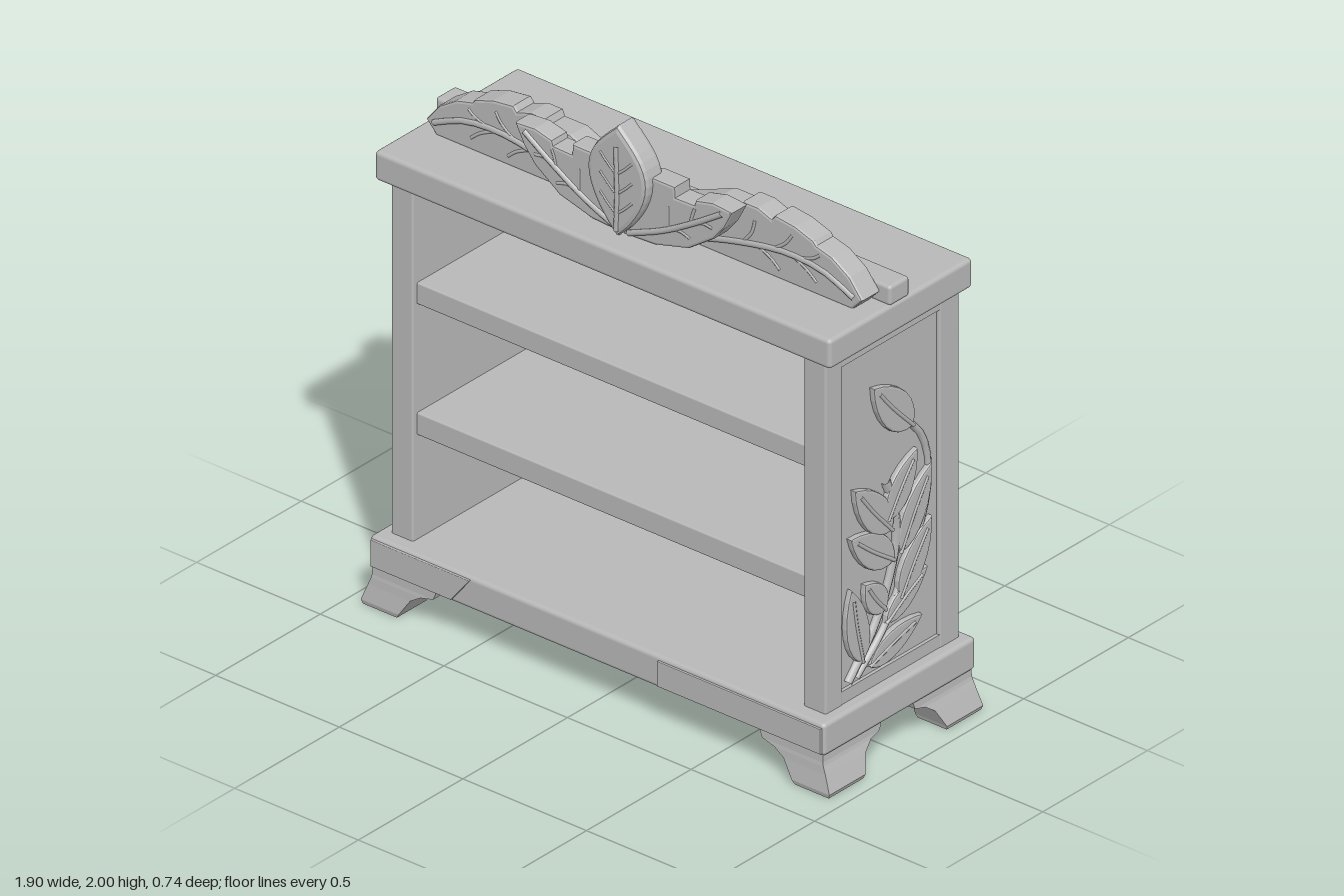
import * as THREE from 'three';
import { RoundedBoxGeometry } from 'three/addons/geometries/RoundedBoxGeometry.js';

const stone = new THREE.MeshStandardMaterial({ color: 0xb8b8b8 });
stone.name = 'plain grey';

export function createModel() {
  const root = new THREE.Group();
  root.name = 'carvedBookcase';

  const add = (name, geometry, parent = root) => {
    const mesh = new THREE.Mesh(geometry, stone);
    mesh.name = name;
    parent.add(mesh);
    return mesh;
  };
  // Box given by its limits; r rounds the edges
  const box = (name, x0, x1, y0, y1, z0, z1, r = 0) => {
    const size = [x1 - x0, y1 - y0, z1 - z0];
    const g = r ? new RoundedBoxGeometry(...size, 2, r) : new THREE.BoxGeometry(...size);
    add(name, g).position.set((x0 + x1) / 2, (y0 + y1) / 2, (z0 + z1) / 2);
  };
  // Bevelled slab cut from an outline, its back at z and its front at z + depth
  const slab = (name, shape, z, depth, bevel, parent = root) => {
    const g = new THREE.ExtrudeGeometry(shape, {
      depth: depth - 2 * bevel, bevelSize: bevel, bevelOffset: -bevel,
      bevelThickness: bevel, bevelSegments: 2, curveSegments: 8,
    });
    g.translate(0, 0, z + bevel);
    return add(name, g, parent);
  };
  const outline = (pts, s = 1) => new THREE.Shape(pts.map(([x, y]) => new THREE.Vector2(x * s, y)));
  // Raised vein following a few points on a flat face
  const vein = (name, pts, s, z, r, parent = root) => {
    const curve = new THREE.CatmullRomCurve3(pts.map(([x, y]) => new THREE.Vector3(x * s, y, z)));
    add(name, new THREE.TubeGeometry(curve, 12, r, 6), parent);
  };

  // Carcass
  box('baseSlab', -0.92, 0.92, 0.135, 0.25, -0.367, 0.36, 0.015);
  box('topSlab', -0.922, 0.922, 1.5, 1.605, -0.35, 0.335, 0.015);
  box('topRail', -0.92, 0.92, 1.6, 1.67, -0.05, 0.045, 0.012);
  box('backPanel', -0.8, 0.8, 0.24, 1.51, -0.333, -0.275);
  box('lowerShelf', -0.8, 0.8, 0.62, 0.7, -0.28, 0.285, 0.006);
  box('upperShelf', -0.8, 0.8, 1.085, 1.162, -0.28, 0.285, 0.006);

  // Worn raised ends on the front of the base
  slab('baseFrontWear', outline([[-0.91, 0.145], [-0.585, 0.145], [-0.51, 0.24], [-0.91, 0.24]]), 0.355, 0.013, 0.003);
  slab('baseFrontWear', outline([[0.25, 0.145], [0.91, 0.145], [0.91, 0.235], [0.25, 0.235]]), 0.355, 0.013, 0.003);

  // Feet: lofted, flared out at the floor and spreading inward under the base
  const rings = [ // y, outer x, inner x, outer z, inner z
    [0, 0.942, 0.805, 0.364, 0.2], [0.015, 0.948, 0.795, 0.368, 0.195],
    [0.075, 0.925, 0.755, 0.36, 0.165], [0.1, 0.915, 0.715, 0.358, 0.13],
    [0.112, 0.912, 0.665, 0.356, 0.085], [0.15, 0.91, 0.65, 0.355, 0.07],
  ];
  const foot = (sx, sz) => {
    const loops = rings.map(([y, ox, ix, oz, iz], k) => {
      const c = k < 2 ? 0.85 : 0.55;
      return [[ox, oz], [ox, iz], [ox + (ix - ox) * c, iz], [ix, oz + (iz - oz) * c], [ix, oz]]
        .map(([x, z]) => [x * sx, y, z * sz]);
    });
    const out = [];
    const tri = (a, b, c) => out.push(...a, ...(sx * sz > 0 ? [...b, ...c] : [...c, ...b]));
    for (let k = 0; k < loops.length - 1; k++) {
      for (let i = 0; i < 5; i++) {
        const j = (i + 1) % 5;
        tri(loops[k][i], loops[k][j], loops[k + 1][j]);
        tri(loops[k][i], loops[k + 1][j], loops[k + 1][i]);
      }
    }
    for (let i = 1; i < 4; i++) tri(loops[0][0], loops[0][i + 1], loops[0][i]);
    const g = new THREE.BufferGeometry();
    g.setAttribute('position', new THREE.Float32BufferAttribute(out, 3));
    g.computeVertexNormals();
    add('foot', g);
  };
  for (const sx of [-1, 1]) for (const sz of [-1, 1]) foot(sx, sz);

  // Side walls: a sunken panel in a frame, with a carved vine
  const leaves = [ // tip z, y, base z, y, half width
    [0.08, 1.31, -0.11, 1.1, 0.06], [-0.13, 1.01, 0.01, 0.81, 0.052],
    [0.17, 0.985, -0.01, 0.77, 0.055], [0.19, 0.82, -0.02, 0.66, 0.055],
    [-0.2, 0.93, -0.05, 0.67, 0.052], [-0.2, 0.74, -0.05, 0.51, 0.052],
    [0.185, 0.64, 0.13, 0.36, 0.05], [0.12, 0.63, 0.02, 0.5, 0.045],
    [-0.18, 0.57, 0.02, 0.45, 0.04], [-0.155, 0.41, 0.1, 0.33, 0.045],
  ];
  for (const s of [-1, 1]) {
    const part = (name, xa, xb, ...rest) => box(name, Math.min(xa * s, xb * s), Math.max(xa * s, xb * s), ...rest);
    part('sideWall', 0.79, 0.866, 0.24, 1.51, -0.33, 0.3);
    part('frontPost', 0.79, 0.88, 0.24, 1.51, 0.225, 0.305, 0.008);
    part('backPost', 0.79, 0.88, 0.24, 1.51, -0.335, -0.24, 0.008);
    part('sideTopFrame', 0.85, 0.878, 1.45, 1.505, -0.25, 0.23);
    part('sideBottomFrame', 0.85, 0.878, 0.245, 0.295, -0.25, 0.23);

    const vine = new THREE.Group();
    vine.name = 'carvedVine';
    vine.position.x = 0.866 * s;
    vine.rotation.y = s * Math.PI / 2;
    root.add(vine);
    vein('mainStem', [[-0.19, 0.31], [-0.07, 0.45], [0.0, 0.58], [0.04, 0.72], [0.03, 0.84], [-0.01, 0.95]], s, 0.004, 0.017, vine);
    vein('sideStem', [[-0.15, 0.31], [-0.02, 0.43], [0.06, 0.56]], s, 0.004, 0.014, vine);
    vein('topStem', [[0.05, 0.56], [0.14, 0.68], [0.195, 0.84], [0.19, 0.97], [0.15, 1.06], [0.08, 1.13]], s, 0.002, 0.013, vine);
    for (const [tz, ty, bz, by, w] of leaves) {
      const leaf = new THREE.Group();
      const dx = (bz - tz) * s, dy = ty - by, len = Math.hypot(dx, dy);
      leaf.name = 'vineLeaf';
      leaf.position.set(-bz * s, by, 0);
      leaf.rotation.z = Math.atan2(dy, dx);
      vine.add(leaf);
      const shape = new THREE.Shape();
      shape.moveTo(0, 0);
      shape.bezierCurveTo(len * 0.15, w * 1.5, len * 0.65, w * 1.4, len, 0);
      shape.bezierCurveTo(len * 0.65, -w * 1.4, len * 0.15, -w * 1.5, 0, 0);
      slab('leafBlade', shape, -0.005, 0.025, 0.007, leaf);
      vein('leafRib', [[0, 0], [len * 0.5, 0.004], [len * 0.85, 0]], 1, 0.018, 0.007, leaf);
    }
  }

  // Crest: long rear leaves, a middle pair and one upright leaf
  const rearLeaf = [[0, 1.6], [0.84, 1.6], [0.882, 1.645], [0.83, 1.71], [0.76, 1.755], [0.695, 1.772],
    [0.685, 1.785], [0.61, 1.81], [0.53, 1.82], [0.515, 1.802], [0.46, 1.822], [0.4, 1.822], [0.39, 1.8],
    [0.3, 1.8], [0.18, 1.75], [0, 1.68]];
  const midLeaf = [[0, 1.603], [0.13, 1.61], [0.26, 1.645], [0.36, 1.715], [0.405, 1.77], [0.44, 1.838],
    [0.36, 1.845], [0.29, 1.828], [0.285, 1.81], [0.21, 1.808], [0.208, 1.845], [0.1, 1.845], [0, 1.78]];
  for (const s of [-1, 1]) {
    slab('rearLeaf', outline(rearLeaf, s), 0.045, 0.09, 0.009);
    vein('rearLeafRib', [[0.15, 1.61], [0.38, 1.675], [0.58, 1.708], [0.73, 1.695], [0.85, 1.645]], s, 0.134, 0.011);
    for (const [x, y, ex, ey] of [[0.4, 1.68, 0.45, 1.775], [0.52, 1.7, 0.6, 1.775], [0.64, 1.71, 0.71, 1.745],
      [0.46, 1.69, 0.55, 1.635], [0.6, 1.705, 0.7, 1.645]]) {
      vein('rearLeafVein', [[x, y], [(x + ex) / 2 + 0.012, (y + ey) / 2], [ex, ey]], s, 0.133, 0.006);
    }
    slab('middleLeaf', outline(midLeaf, s), 0.155, 0.078, 0.009);
    vein('middleLeafRib', [[0.02, 1.615], [0.16, 1.675], [0.29, 1.75], [0.4, 1.822]], s, 0.232, 0.011);
    for (const [x, y, ex, ey] of [[0.18, 1.685, 0.18, 1.77], [0.27, 1.735, 0.29, 1.8], [0.2, 1.695, 0.27, 1.685],
      [0.29, 1.75, 0.36, 1.755]]) {
      vein('middleLeafVein', [[x, y], [(x + ex) / 2, (y + ey) / 2 + 0.006], [ex, ey]], s, 0.231, 0.006);
    }
    // Small bosses joining the rear leaves to the rail
    add('crestBoss', new THREE.SphereGeometry(0.03, 12, 8)).position.set(0.56 * s, 1.67, 0.04);
  }
  // Block holding the leaf layers together
  box('crestBlock', -0.09, 0.09, 1.6, 1.7, 0.05, 0.2);

  const upright = new THREE.Shape();
  upright.moveTo(0, 1.608);
  upright.bezierCurveTo(0.05, 1.65, 0.12, 1.74, 0.12, 1.82);
  upright.bezierCurveTo(0.12, 1.9, 0.05, 1.95, 0, 2);
  upright.bezierCurveTo(-0.05, 1.95, -0.12, 1.9, -0.12, 1.82);
  upright.bezierCurveTo(-0.12, 1.74, -0.05, 1.65, 0, 1.608);
  slab('uprightLeaf', upright, 0.178, 0.09, 0.016);
  vein('uprightLeafRib', [[0, 1.63], [0.004, 1.75], [0, 1.93]], 1, 0.267, 0.009);
  for (const s of [-1, 1]) {
    for (const y of [1.69, 1.76, 1.83]) {
      vein('uprightLeafVein', [[0, y], [0.03, y + 0.025], [0.065, y + 0.06]], s, 0.266, 0.005);
    }
  }
  return root;
}
